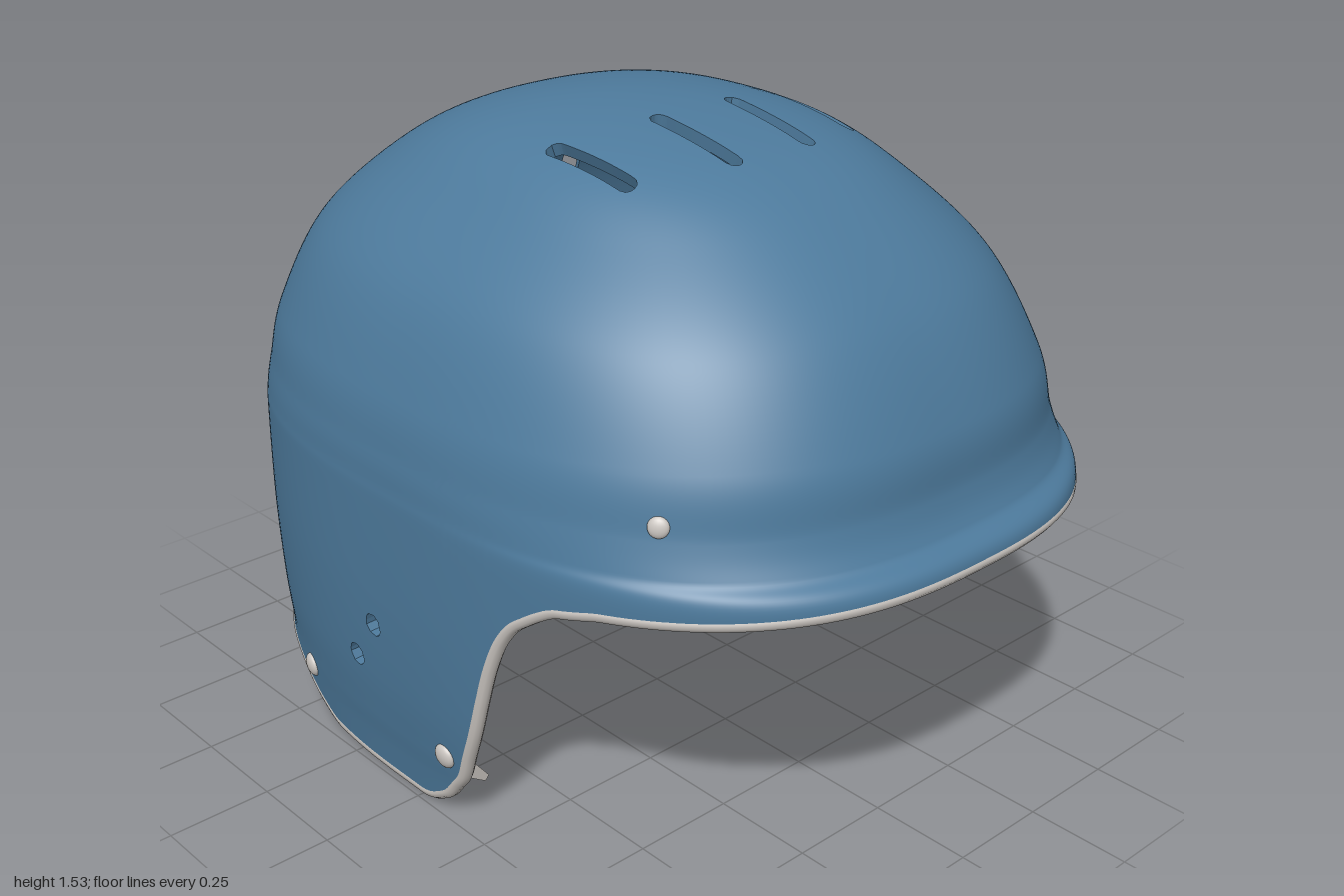
import * as THREE from 'three';

// Horizontal sections from bottom to crown: height, back x, front x, half width, squareness
const SECTIONS = [
  [-0.03, -1.0, 0.95, 0.735, 2.6],
  [0.09, -0.998, 0.95, 0.75, 2.6],
  [0.17, -0.973, 0.95, 0.762, 2.6],
  [0.3, -0.975, 0.95, 0.776, 2.6],
  [0.5, -0.98, 0.95, 0.785, 2.6],
  [0.735, -0.977, 0.996, 0.785, 2.6],
  [0.8, -0.972, 0.942, 0.782, 2.6],
  [0.87, -0.962, 0.912, 0.775, 2.55],
  [1.0, -0.937, 0.885, 0.748, 2.5],
  [1.2, -0.835, 0.77, 0.66, 2.45],
  [1.36, -0.66, 0.59, 0.51, 2.4],
  [1.46, -0.475, 0.41, 0.38, 2.35],
  [1.515, -0.27, 0.18, 0.21, 2.3],
  [1.535, -0.05, -0.05, 0, 2.3],
];
const TOP = SECTIONS.length - 1;
const MID = -0.05;
const THICK = 0.03;
// Mirrored row past the crown keeps the top flat
const BEYOND = [1.515, 0.17, -0.28, -0.21, 2.3];

// Height of the lower edge along the length of the helmet
const RIM = [
  [-1.02, 0.085], [-0.99, 0.1], [-0.96, 0.13], [-0.9, 0.148], [-0.75, 0.138], [-0.58, 0.108],
  [-0.47, 0.055], [-0.37, 0.017], [-0.2, 0.016], [0.03, 0.017], [0.1, 0.055], [0.17, 0.135],
  [0.23, 0.27], [0.32, 0.54], [0.38, 0.62], [0.47, 0.68], [0.58, 0.703], [1.02, 0.737],
];

// Through holes as capsules: projection axes, ends, radius, valid region
const HOLES = [];
for (const s of [1, -1]) {
  HOLES.push(
    { u: 'x', v: 'z', a: [0.05, s * 0.338], b: [0.27, s * 0.33], r: 0.021, ok: p => p.y > 1.2 },
    { u: 'x', v: 'z', a: [0.13, s * 0.113], b: [0.355, s * 0.11], r: 0.021, ok: p => p.y > 1.2 },
    { u: 'y', v: 'z', a: [1.02, s * 0.415], b: [1.18, s * 0.385], r: 0.021, ok: p => p.x < -0.4 },
    { u: 'x', v: 'y', a: [-0.09, 0.43], b: [-0.09, 0.43], r: 0.028, ok: p => p.z * s > 0.3 },
    { u: 'x', v: 'y', a: [-0.175, 0.315], b: [-0.175, 0.315], r: 0.028, ok: p => p.z * s > 0.3 },
  );
}

const spline = (a, b, c, d, t) =>
  b + 0.5 * t * (c - a + t * (2 * a - 5 * b + 4 * c - d + t * (3 * (b - c) + d - a)));

function sectionAt(s) {
  const i = Math.min(TOP - 1, Math.max(0, Math.floor(s)));
  const row = k => (k > TOP ? BEYOND : SECTIONS[Math.max(0, k)]);
  return SECTIONS[0].map((_, k) => spline(row(i - 1)[k], row(i)[k], row(i + 1)[k], row(i + 2)[k], s - i));
}

function point(theta, s) {
  const [y, back, front, w, n] = sectionAt(s);
  const c = Math.cos(theta), q = Math.sin(theta);
  const r = Math.pow(Math.abs(c) ** n + Math.abs(q) ** n, -1 / n);
  return new THREE.Vector3(MID + r * c * (c > 0 ? front - MID : MID - back), y, w * r * q);
}

function normal(theta, s) {
  const t = Math.min(s, TOP - 0.02), e = 0.005;
  const up = point(theta, t + e).sub(point(theta, Math.max(0, t - e)));
  const round = point(theta + e, t).sub(point(theta - e, t));
  return s > TOP - 0.001 ? new THREE.Vector3(0, 1, 0) : up.cross(round).normalize();
}

function rimHeight(x) {
  let i = 0;
  while (i < RIM.length - 2 && x > RIM[i + 1][0]) i++;
  const [x0, y0] = RIM[i], [x1, y1] = RIM[i + 1];
  return y0 + (y1 - y0) * (x - x0) / (x1 - x0);
}

function bisect(f, lo, hi) {
  for (let k = 0; k < 40; k++) {
    const m = (lo + hi) / 2;
    if (f(m) < 0) lo = m; else hi = m;
  }
  return lo;
}

const rimParam = theta => bisect(s => { const p = point(theta, s); return p.y - rimHeight(p.x); }, 0, 8);

// Signed distance to the nearest hole, negative inside
function holeDistance(p) {
  let best = 1;
  for (const h of HOLES) {
    if (!h.ok(p)) continue;
    const du = h.b[0] - h.a[0], dv = h.b[1] - h.a[1];
    const pu = p[h.u] - h.a[0], pv = p[h.v] - h.a[1];
    const t = Math.min(1, Math.max(0, (pu * du + pv * dv) / (du * du + dv * dv || 1)));
    best = Math.min(best, Math.hypot(pu - t * du, pv - t * dv) - h.r);
  }
  return best;
}

// Double-walled shell, with each triangle clipped against the holes
function shellGeometry(cols, rows) {
  const pos = [], nor = [];
  const put = (p, n) => { pos.push(p.x, p.y, p.z); nor.push(n.x, n.y, n.z); };
  const grid = [];
  for (let i = 0; i < cols; i++) {
    const theta = (i / cols) * Math.PI * 2, s0 = rimParam(theta);
    grid.push(Array.from({ length: rows + 1 }, (_, j) => {
      const s = s0 + (TOP - s0) * j / rows;
      const p = point(theta, s), n = normal(theta, s);
      return { p, n, q: p.clone().addScaledVector(n, -THICK), d: holeDistance(p) };
    }));
  }
  const mix = (a, b) => {
    const t = a.d / (a.d - b.d);
    return { p: a.p.clone().lerp(b.p, t), q: a.q.clone().lerp(b.q, t), n: a.n.clone().lerp(b.n, t).normalize(), cut: true };
  };
  const addTriangle = tri => {
    const poly = [];
    tri.forEach((a, k) => {
      const b = tri[(k + 1) % 3];
      if (a.d >= 0) poly.push(a);
      if ((a.d >= 0) !== (b.d >= 0)) poly.push(mix(a, b));
    });
    for (let k = 1; k + 1 < poly.length; k++) {
      const f = [poly[0], poly[k], poly[k + 1]];
      f.forEach(v => put(v.p, v.n));
      f.reverse().forEach(v => put(v.q, v.n.clone().negate()));
    }
    // hole wall
    poly.forEach((a, k) => {
      const b = poly[(k + 1) % poly.length];
      if (!a.cut || !b.cut) return;
      const n = b.p.clone().sub(a.p).cross(a.n).normalize();
      [a.p, a.q, b.q, a.p, b.q, b.p].forEach(p => put(p, n));
    });
  };
  for (let i = 0; i < cols; i++) {
    const g = grid[i], h = grid[(i + 1) % cols];
    for (let j = 0; j < rows; j++) {
      addTriangle([g[j], g[j + 1], h[j + 1]]);
      if (j >= 0) addTriangle([g[j], h[j + 1], h[j]]);
    }
  }
  const geo = new THREE.BufferGeometry();
  geo.setAttribute('position', new THREE.Float32BufferAttribute(pos, 3));
  geo.setAttribute('normal', new THREE.Float32BufferAttribute(nor, 3));
  return geo;
}

// Group sitting on the shell at (x, y), its +z pointing outward
function anchor(name, x, y, side) {
  const s = bisect(k => sectionAt(k)[0] - y, 0, TOP);
  const theta = bisect(t => x - point(t, s).x, 0, Math.PI);
  const p = point(theta, s), n = normal(theta, s);
  p.z *= side; n.z *= side;
  const g = new THREE.Group();
  g.name = name;
  g.position.copy(p);
  g.lookAt(p.clone().add(n));
  return g;
}

export function createModel() {
  const model = new THREE.Group();
  const blue = new THREE.MeshStandardMaterial({ color: 0x4d7a9c });
  blue.name = 'shell blue';
  const grey = new THREE.MeshStandardMaterial({ color: 0xcbc6c1 });
  grey.name = 'trim grey';
  const add = (parent, name, geo, mat) => {
    const m = new THREE.Mesh(geo, mat);
    m.name = name;
    parent.add(m);
    return m;
  };

  add(model, 'shell', shellGeometry(270, 110), blue);

  // Rounded trim around the whole lower edge
  const path = Array.from({ length: 200 }, (_, i) => {
    const theta = (i / 200) * Math.PI * 2, s = rimParam(theta);
    return point(theta, s).addScaledVector(normal(theta, s), -THICK / 2);
  });
  const curve = new THREE.CatmullRomCurve3(path, true);
  curve.arcLengthDivisions = 1200;
  add(model, 'edgeTrim', new THREE.TubeGeometry(curve, 500, 0.0175, 10, true), grey);

  // Bent strap clip hanging inside the shell
  const profile = [[0.028, 0.035], [0.045, 0.035], [0.05, -0.035], [0.08, -0.085], [0.068, -0.095], [0.028, -0.06]];
  const clip = new THREE.ExtrudeGeometry(new THREE.Shape(profile.map(p => new THREE.Vector2(...p))),
    { depth: 0.055, bevelEnabled: false });
  clip.translate(0, 0, -0.0275).rotateY(Math.PI / 2);

  // Rivets, the lower ones holding clips
  for (const side of [1, -1]) {
    for (const [name, x, y, r, shift] of [
      ['browRivet', 0.66, 0.9, 0.023, null],
      ['frontStrapRivet', 0.13, 0.18, 0.03, 0.014],
      ['rearStrapRivet', -0.47, 0.13, 0.03, -0.005],
    ]) {
      const g = anchor(name, x, y, side);
      add(g, 'rivetHead', new THREE.SphereGeometry(r, 20, 12), grey).scale.z = 0.5;
      if (shift !== null) add(g, 'strapClip', clip, grey).position.x = shift * side;
      model.add(g);
    }
  }
  return model;
}
